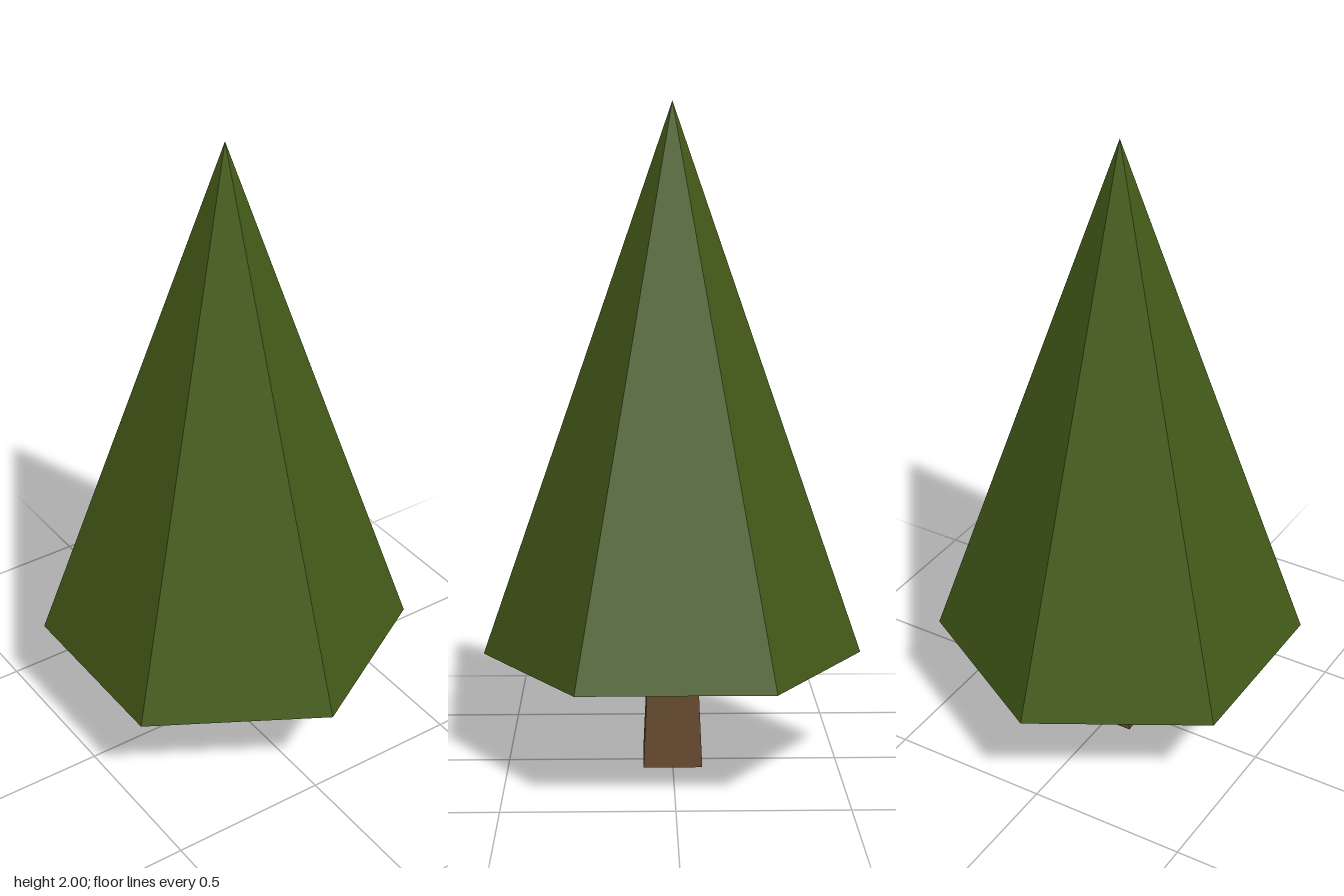
import * as THREE from 'three';

const BASE_Y = 0.335;  // underside of the foliage
const HEIGHT = 2;

function part(name, geometry, color, y) {
  const material = new THREE.MeshStandardMaterial({ color, flatShading: true });
  const mesh = new THREE.Mesh(geometry, material);
  mesh.name = name;
  mesh.position.y = y;
  return mesh;
}

export function createModel() {
  const tree = new THREE.Group();
  tree.name = 'tree';

  // Tapered square trunk, sides facing the axes
  const trunk = new THREE.CylinderGeometry(0.074 * Math.SQRT2, 0.089 * Math.SQRT2, BASE_Y, 4);
  trunk.rotateY(Math.PI / 4);
  tree.add(part('trunk', trunk, 0x65492f, BASE_Y / 2));

  // Six-sided foliage cone with corners on the z axis
  const foliage = new THREE.ConeGeometry(0.575, HEIGHT - BASE_Y, 6);
  tree.add(part('foliage', foliage, 0x435a18, (HEIGHT + BASE_Y) / 2));

  return tree;
}
